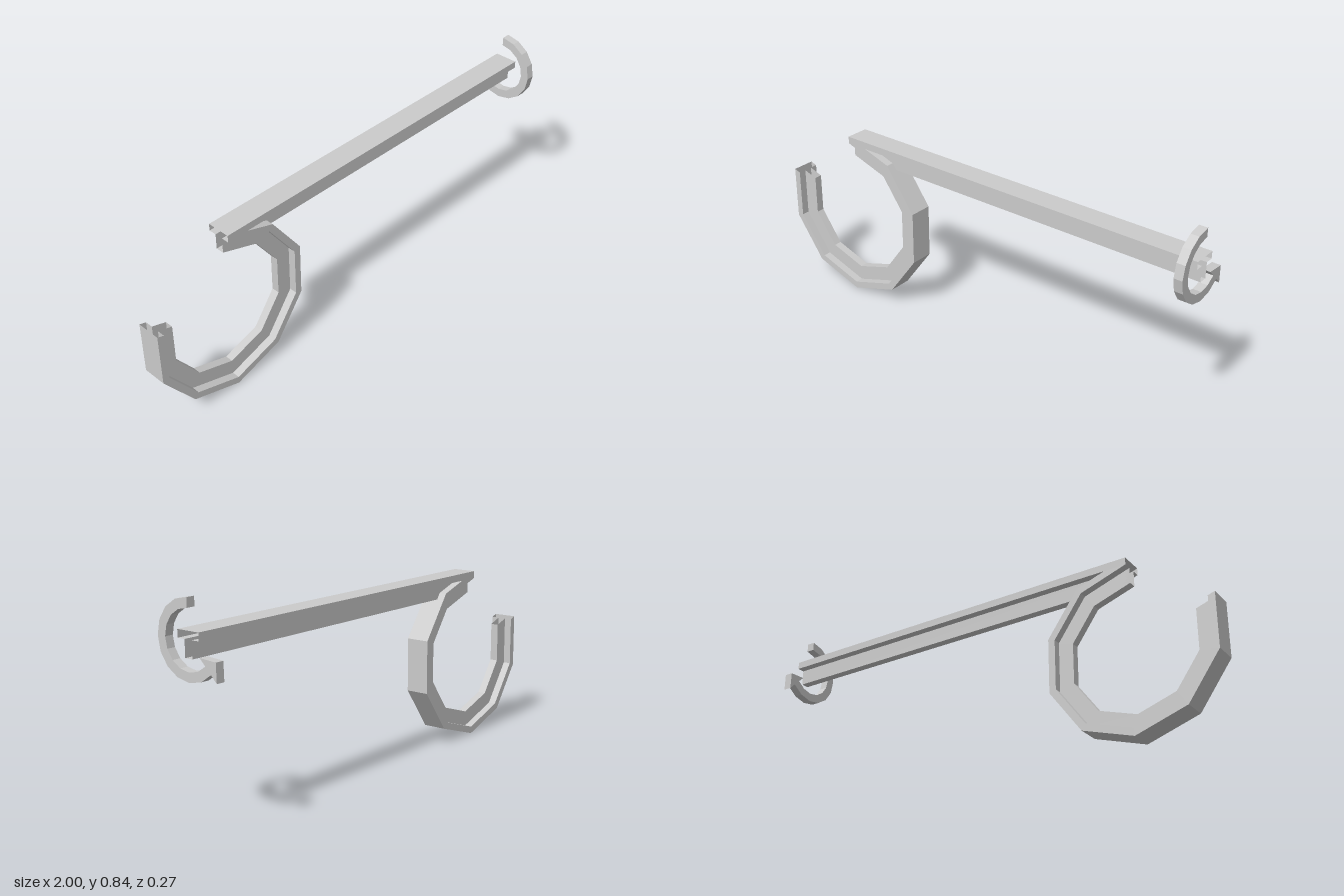
import * as THREE from 'three';

const material = new THREE.MeshStandardMaterial({
  color: 0xcccccc, flatShading: true, side: THREE.DoubleSide,
});

// T-shaped section: [depth below the flange face, z]
const Z0 = -0.057, Z1 = 0.042, W0 = -0.025, W1 = 0.009, FLANGE = 0.03, DEPTH = 0.095;
const section = [
  [0, Z0], [0, Z1], [FLANGE, Z1], [FLANGE, W1],
  [DEPTH, W1], [DEPTH, W0], [FLANGE, W0], [FLANGE, Z0],
];

// Open-ended sweep of the T section; each station maps a depth to [x, y]
function sweepSection(name, stations) {
  const n = section.length, positions = [], index = [];
  stations.forEach((place, i) => {
    section.forEach(([depth, z], j) => {
      positions.push(...place(depth), z);
      if (i === stations.length - 1) return;
      const a = i * n + j, b = i * n + (j + 1) % n;
      index.push(a, b, a + n, b, b + n, a + n);
    });
  });
  const indexed = new THREE.BufferGeometry();
  indexed.setAttribute('position', new THREE.Float32BufferAttribute(positions, 3));
  indexed.setIndex(index);
  const geometry = indexed.toNonIndexed();
  geometry.computeVertexNormals();
  const mesh = new THREE.Mesh(geometry, material);
  mesh.name = name;
  return mesh;
}

export function createModel() {
  const group = new THREE.Group();
  group.name = 'hookBracket';
  const cx = -0.652, cy = 0.37, radius = 0.365;

  // Straight arm
  group.add(sweepSection('arm', [cx, 1].map((x) => (d) => [x, cy + radius - d])));

  // Ten-sided hook, with two sides left open
  const hookStations = [];
  for (let i = 0; i <= 8; i++) {
    const angle = Math.PI / 2 - i * Math.PI / 5;
    hookStations.push((d) => [
      cx + (radius - d) * Math.cos(angle),
      cy + (radius - d) * Math.sin(angle),
    ]);
  }
  group.add(sweepSection('hook', hookStations));

  // Curved arrow around the end of the arm, drawn in the (-z, y) plane
  const ringArc = (r) => Array.from({ length: 11 }, (_, i) => {
    const angle = Math.PI / 2 + i * Math.PI / 8;
    return new THREE.Vector2(0.007 + r * Math.cos(angle), 0.702 + r * Math.sin(angle));
  });
  const arrowHead = [[0.135, 0.573], [0.133, 0.645], [0.059, 0.65]]
    .map(([u, y]) => new THREE.Vector2(u, y));
  const outline = new THREE.Shape([...ringArc(0.145), ...arrowHead, ...ringArc(0.109).reverse()]);
  const arrowGeometry = new THREE.ExtrudeGeometry(outline, { depth: 0.035, bevelEnabled: false });
  arrowGeometry.rotateY(Math.PI / 2).translate(0.965, 0, 0);
  const arrow = new THREE.Mesh(arrowGeometry, material);
  arrow.name = 'curvedArrow';
  group.add(arrow);

  return group;
}
